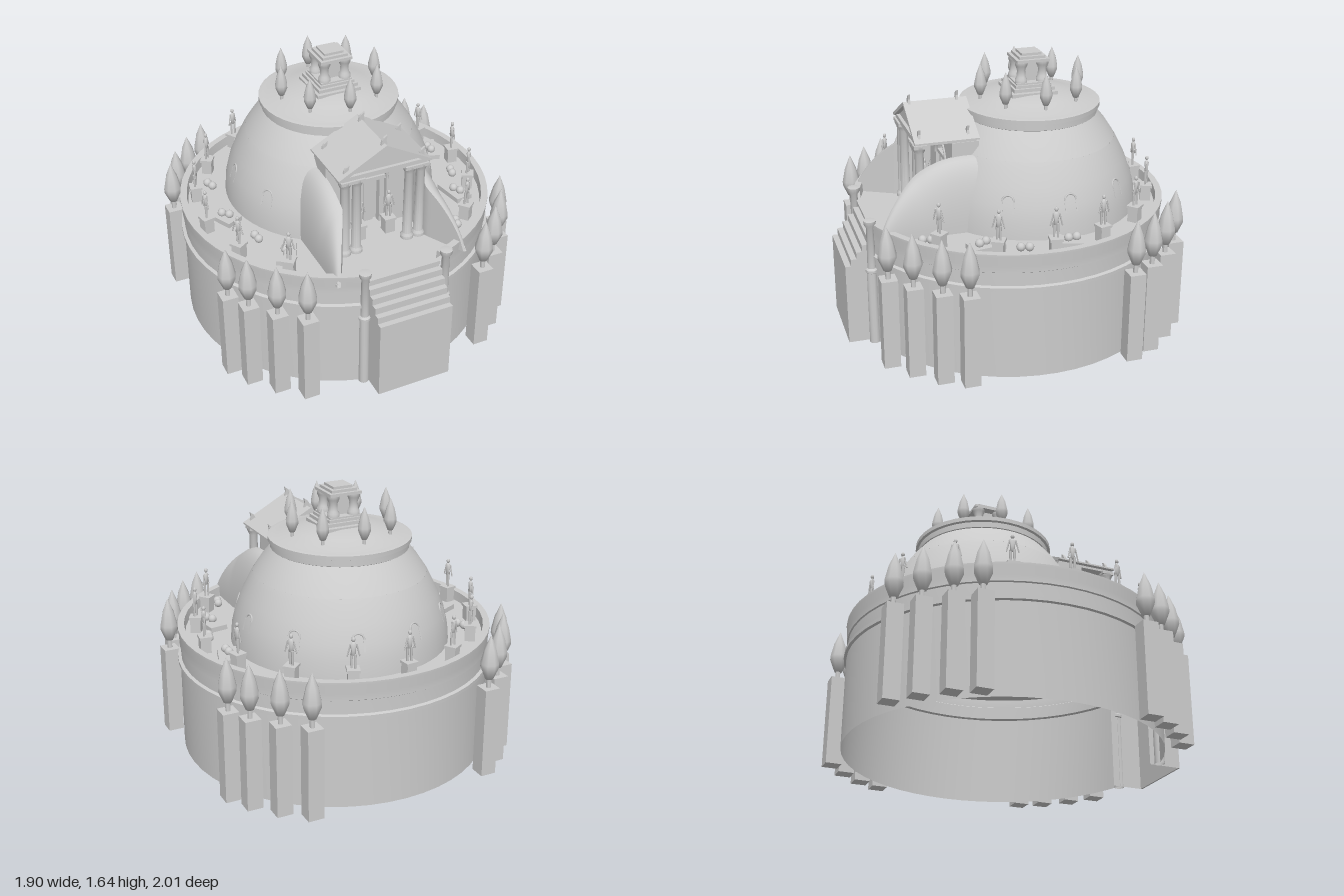
import * as THREE from 'three';
import { toCreasedNormals } from 'three/addons/utils/BufferGeometryUtils.js';
import { ParametricGeometry } from 'three/addons/geometries/ParametricGeometry.js';

const mat = new THREE.MeshStandardMaterial({ color: 0xcccccc, side: THREE.DoubleSide });
const FLOOR = 0.71, DRUM_Z = -0.06, DX = 0.025, DZ = -0.19, PX = 0.025;

function add(parent, name, geo, x = 0, y = 0, z = 0) {
  const m = new THREE.Mesh(geo, mat);
  m.name = name;
  m.position.set(x, y, z);
  parent.add(m);
  return m;
}
function group(parent, name, x = 0, y = 0, z = 0) {
  const g = new THREE.Group();
  g.name = name;
  g.position.set(x, y, z);
  parent.add(g);
  return g;
}
const box = (w, h, d) => new THREE.BoxGeometry(w, h, d);
// box standing on y
const block = (p, name, w, h, d, x, y, z) => add(p, name, box(w, h, d), x, y + h / 2, z);
// lathe from [radius, y] pairs, optionally leaving a gap at the front
function lathe(pts, seg = 12, gap = 0, crease = 0.7) {
  const g = new THREE.LatheGeometry(pts.map(p => new THREE.Vector2(...p)), seg, gap, Math.PI * 2 - 2 * gap);
  return toCreasedNormals(g, crease);
}
function extrude(pts, depth) {
  return new THREE.ExtrudeGeometry(new THREE.Shape(pts.map(p => new THREE.Vector2(...p))), { depth, bevelEnabled: false });
}

const treeGeo = lathe([[0.014, 0], [0.014, 0.05], [0.022, 0.052], [0.05, 0.125], [0.05, 0.15], [0.033, 0.235], [0.001, 0.32]], 8, 0, 1.2);
function tree(p, x, y, z, s = 1) {
  add(p, 'cypress', treeGeo, x, y, z).scale.set(s * 1.08, s, s * 1.08);
}

function column(p, name, x, z, y0, y1, r) {
  const h = y1 - y0;
  add(p, name, lathe([[r * 1.35, 0], [r * 1.35, 0.02], [r, 0.035], [r * 0.9, h - 0.05], [r * 1.25, h - 0.025], [r * 1.35, h - 0.02], [r * 1.35, h], [0, h]], 14), x, y0, z);
}

// standing figure on a square pedestal, 0.29 tall
const torsoGeo = lathe([[0, 0.075], [0.016, 0.078], [0.013, 0.105], [0.019, 0.14], [0.007, 0.15], [0.006, 0.158]], 8, 0, 2);
const legGeo = new THREE.CylinderGeometry(0.009, 0.006, 0.085, 6);
const armGeo = new THREE.CylinderGeometry(0.005, 0.004, 0.075, 5);
const headGeo = new THREE.SphereGeometry(0.011, 8, 6);
function statue(p, x, z, angle, pedestal = 0.1) {
  const g = group(p, 'statue', x, FLOOR, z);
  g.rotation.y = angle;
  block(g, 'pedestal', 0.062, pedestal - 0.015, 0.062, 0, 0, 0);
  block(g, 'pedestalCap', 0.074, 0.015, 0.074, 0, pedestal - 0.015, 0);
  const f = group(g, 'figure', 0, pedestal, 0);
  add(f, 'torso', torsoGeo).scale.z = 0.7;
  add(f, 'head', headGeo, 0, 0.168, 0).scale.y = 1.25;
  for (const s of [-1, 1]) {
    add(f, 'leg', legGeo, s * 0.01, 0.042, s * 0.005);
    add(f, 'arm', armGeo, s * 0.026, 0.108, 0.004).rotation.z = s * 0.25;
  }
}

// pair of round shrubs, optionally in a rectangular planter
function shrubs(p, x, z, angle, planter) {
  const g = group(p, planter ? 'planter' : 'shrubPair', x, FLOOR, z);
  g.rotation.y = angle;
  if (planter) block(g, 'planterBox', 0.11, 0.03, 0.2, 0, 0, 0);
  const y = planter ? 0.045 : 0.025;
  for (const s of [-1, 1]) add(g, 'shrub', new THREE.SphereGeometry(0.026, 10, 8), s * 0.008, y, s * 0.023 + (planter ? 0.02 : 0));
}

function buildDrum(root) {
  const g = group(root, 'drum', 0, 0, DRUM_Z);
  const gap = 0.27;
  add(g, 'drumWall', lathe([[0.935, 0], [0.935, 0.55]], 48, gap));
  add(g, 'parapet', lathe([[0.935, 0.545], [0.95, 0.55], [0.95, 0.57], [0.93, 0.575], [0.93, 0.655], [0.938, 0.66], [0.938, 0.7],
    [0.945, 0.755], [0.945, 0.77], [0.905, 0.77], [0.9, 0.71]], 48, gap, 0.4));
  const floor = new THREE.Shape().absarc(0, 0, 0.932, -Math.PI / 2 + gap, Math.PI * 1.5 - gap, false);
  add(g, 'terraceFloor', new THREE.ShapeGeometry(floor, 48), 0, FLOOR, 0).rotation.x = -Math.PI / 2;
  // cypresses on square piers outside the wall
  for (const [x, z] of [[0.89, 0.485], [0.815, 0.62], [0.695, 0.755], [0.56, 0.87]])
    for (const sx of [-1, 1]) for (const sz of [-1, 1]) {
      block(g, 'pier', 0.095, 0.55, 0.095, sx * x, 0, sz * z);
      tree(g, sx * x, 0.55, sz * z);
    }
}

function buildStairs(root) {
  const g = group(root, 'stairs', PX, 0, 0);
  const w = 0.46, rise = 0.042, run = 0.034, outline = [[0.8, 0], [1, 0]];
  block(g, 'stairFront', w, 0.5, 0.01, 0, 0, 0.995);
  for (let i = 0; i < 6; i++) {
    const y = 0.5 + i * rise, z = 1 - i * run;
    outline.push([z, y], [z - run, y]);
    block(g, 'tread', w, 0.008, run, 0, y - 0.008, z - run / 2);
    if (i) block(g, 'riser', w, rise, 0.006, 0, y - rise, z - 0.003);
  }
  const side = new THREE.ShapeGeometry(new THREE.Shape(outline.map(p => new THREE.Vector2(...p))));
  for (const s of [-1, 1]) {
    add(g, 'stairSide', side, s * w / 2, 0, 0).rotation.y = -Math.PI / 2;
    add(g, 'gatePost', lathe([[0.03, 0], [0.03, 0.46], [0.036, 0.465], [0.036, 0.48], [0.025, 0.49], [0.023, 0.745],
      [0.035, 0.765], [0.037, 0.79], [0, 0.795]], 14), s * 0.255, 0, 0.85);
  }
}

function buildDome(root) {
  const g = group(root, 'dome', DX, 0, DZ);
  add(g, 'domeLower', lathe([[0.65, 0.71], [0.642, 0.8], [0.618, 0.9], [0.578, 1.0], [0.528, 1.1], [0.51, 1.13]], 48, 0.42));
  add(g, 'domeUpper', lathe([[0.51, 1.13], [0.46, 1.205], [0.398, 1.28]], 48));
  add(g, 'crownRing', lathe([[0.398, 1.275], [0.406, 1.28], [0.406, 1.315], [0.42, 1.32], [0.42, 1.345], [0.395, 1.35], [0.37, 1.35],
    [0.26, 1.385], [0.14, 1.41], [0, 1.41]], 40, 0, 0.4));
  for (let i = 0; i < 8; i++) {
    const a = i * Math.PI / 4;
    tree(g, Math.sin(a) * 0.303, 1.36, Math.cos(a) * 0.303, 0.7);
  }
  // arched frames on the dome's flank
  for (let i = 0; i < 8; i++) {
    const a = Math.PI + (i - 3.5) * 0.595;
    const f = group(g, 'archFrame', Math.sin(a) * 0.605, 0.925, Math.cos(a) * 0.605);
    f.rotation.set(-0.3, a, 0, 'YXZ');
    add(f, 'arch', new THREE.TorusGeometry(0.034, 0.006, 6, 12, Math.PI));
    for (const s of [-1, 1]) add(f, 'jamb', box(0.01, 0.07, 0.008), s * 0.034, -0.035, 0);
  }
  // lantern on top
  const l = group(g, 'lantern', 0.005, 0, 0.01);
  [[0.28, 1.4], [0.25, 1.425], [0.22, 1.442]].forEach(([w, y]) => block(l, 'lanternStep', w, 0.02, w, 0, y, 0));
  block(l, 'lanternPlinth', 0.2, 0.012, 0.2, 0, 1.46, 0);
  for (const sx of [-1, 1]) for (const sz of [-1, 1]) column(l, 'lanternColumn', sx * 0.065, sz * 0.065, 1.47, 1.595, 0.027);
  block(l, 'lanternCore', 0.1, 0.13, 0.1, 0, 1.47, 0);
  [[0.2, 1.593, 0.017], [0.16, 1.61, 0.016], [0.12, 1.626, 0.015]].forEach(([w, y, h]) => block(l, 'lanternRoof', w, h, w, 0, y, 0));
}

// curved wall sweeping from the dome down to the stairs; tapers to a line at its foot
function wing(side) {
  return new ParametricGeometry((u, v, out) => {
    const t = u * 1.1 - 0.1, z = 0.28 + 0.54 * t;
    const h = 0.42 * Math.pow(1 - Math.pow(Math.max(t, 0), 2.2), 0.75);
    const inner = z < 0.58 ? 0.265 : 0.265 + (z - 0.58) * 0.52;
    const w = Math.max(0.41 - inner, 0.005);
    const k = Math.max(0, (v - 0.25) / 0.75);
    const y = v < 0.25 ? h * v * 4 : h * Math.cos(k * Math.PI / 2);
    const x = inner + w * Math.pow(Math.sin(k * Math.PI / 2), 0.9);
    out.set(side * x, FLOOR + y, z);
  }, 24, 16);
}

function buildPorch(root) {
  const g = group(root, 'porch', PX, 0, 0);
  for (const s of [-1, 1]) {
    add(g, 'wingWall', toCreasedNormals(wing(s), 0.7));
    column(g, 'porchColumn', s * 0.165, 0.545, FLOOR, 1.21, 0.029);
    column(g, 'porchColumn', s * 0.238, 0.545, FLOOR, 1.21, 0.029);
    block(g, 'abacus', 0.15, 0.02, 0.075, s * 0.2, 1.195, 0.545);
  }
  // entrance wall with a round arch
  const wall = new THREE.Shape();
  [[-0.27, FLOOR], [-0.12, FLOOR], [-0.12, 1.02]].forEach(([x, y], i) => i ? wall.lineTo(x, y) : wall.moveTo(x, y));
  wall.absarc(0, 1.02, 0.12, Math.PI, 0, true);
  [[0.12, FLOOR], [0.27, FLOOR], [0.27, 1.21], [-0.27, 1.21]].forEach(([x, y]) => wall.lineTo(x, y));
  add(g, 'entranceWall', new THREE.ExtrudeGeometry(wall, { depth: 0.16, bevelEnabled: false }), 0, 0, 0.2);
  add(g, 'archMoulding', new THREE.TorusGeometry(0.125, 0.01, 6, 20, Math.PI), 0, 1.02, 0.36);
  block(g, 'doorWall', 0.26, 0.44, 0.02, 0, FLOOR, 0.28);
  block(g, 'lintel', 0.25, 0.025, 0.05, 0, 1.015, 0.325);
  for (const s of [-1, 1]) {
    block(g, 'doorLeaf', 0.058, 0.29, 0.015, s * 0.031, FLOOR, 0.298);
    block(g, 'doorJamb', 0.03, 0.305, 0.04, s * 0.1, FLOOR, 0.32);
    statue(g, s * 0.095, 0.44, 0);
    // pair of birds facing each other in the arch
    const b = group(g, 'bird', s * 0.045, 1.07, 0.32);
    add(b, 'birdBody', new THREE.SphereGeometry(0.022, 10, 8)).scale.set(1.3, 0.7, 0.6);
    add(b, 'birdNeck', new THREE.CylinderGeometry(0.004, 0.007, 0.035, 6), -s * 0.022, 0.018, 0).rotation.z = s * 0.3;
    add(b, 'birdHead', new THREE.SphereGeometry(0.008, 8, 6), -s * 0.028, 0.036, 0);
    block(b, 'birdLegs', 0.006, 0.03, 0.006, 0, -0.042, 0);
  }
  // gabled roof
  block(g, 'entablature', 0.53, 0.03, 0.36, 0, 1.21, 0.39);
  add(g, 'pediment', extrude([[-0.25, 1.235], [0.25, 1.235], [0, 1.375]], 0.33), 0, 0, 0.22);
  add(g, 'roof', extrude([[-0.29, 1.225], [-0.265, 1.225], [0, 1.37], [0.265, 1.225], [0.29, 1.225], [0.29, 1.235], [0, 1.393], [-0.29, 1.235]], 0.38), 0, 0, 0.2);
  for (const z of [0.26, 0.545])
    for (const [x, y] of [[-0.23, 1.24], [0, 1.375], [0.24, 1.24]])
      add(g, 'roofFin', extrude([[-0.022, 0], [0.022, 0], [0.012, 0.035], [0.018, 0.065], [-0.004, 0.05], [-0.014, 0.035]], 0.014), x, y, z - 0.007);
}

export function createModel() {
  const root = new THREE.Group();
  root.name = 'domedRotunda';
  buildDrum(root);
  buildStairs(root);
  buildDome(root);
  buildPorch(root);
  // statues around the terrace, facing outward
  const spots = [[-0.37, -0.83], [-0.04, -0.91], [0.28, -0.86], [0.56, -0.67], [0.76, -0.39], [0.84, -0.08], [0.78, 0.23],
    [0.6, 0.52], [-0.57, 0.58], [-0.77, 0.32], [-0.85, 0], [-0.8, -0.34], [-0.63, -0.61]];
  for (const [x, z] of spots) statue(root, x, z, Math.atan2(x - DX, z - DZ));
  // shrubs and planters
  for (const [x, z, a] of [[-0.72, -0.08, 0.45], [-0.52, 0.42, -0.45], [0.76, -0.23, -0.3], [0.67, 0.27, 0.15]]) shrubs(root, x, z, a, true);
  for (const [x, z, a] of [[-0.68, -0.43, 0], [-0.62, 0.21, -0.2], [0.76, 0.07, -0.6], [0.51, 0.57, -0.6]]) shrubs(root, x, z, a, false);
  return root;
}
